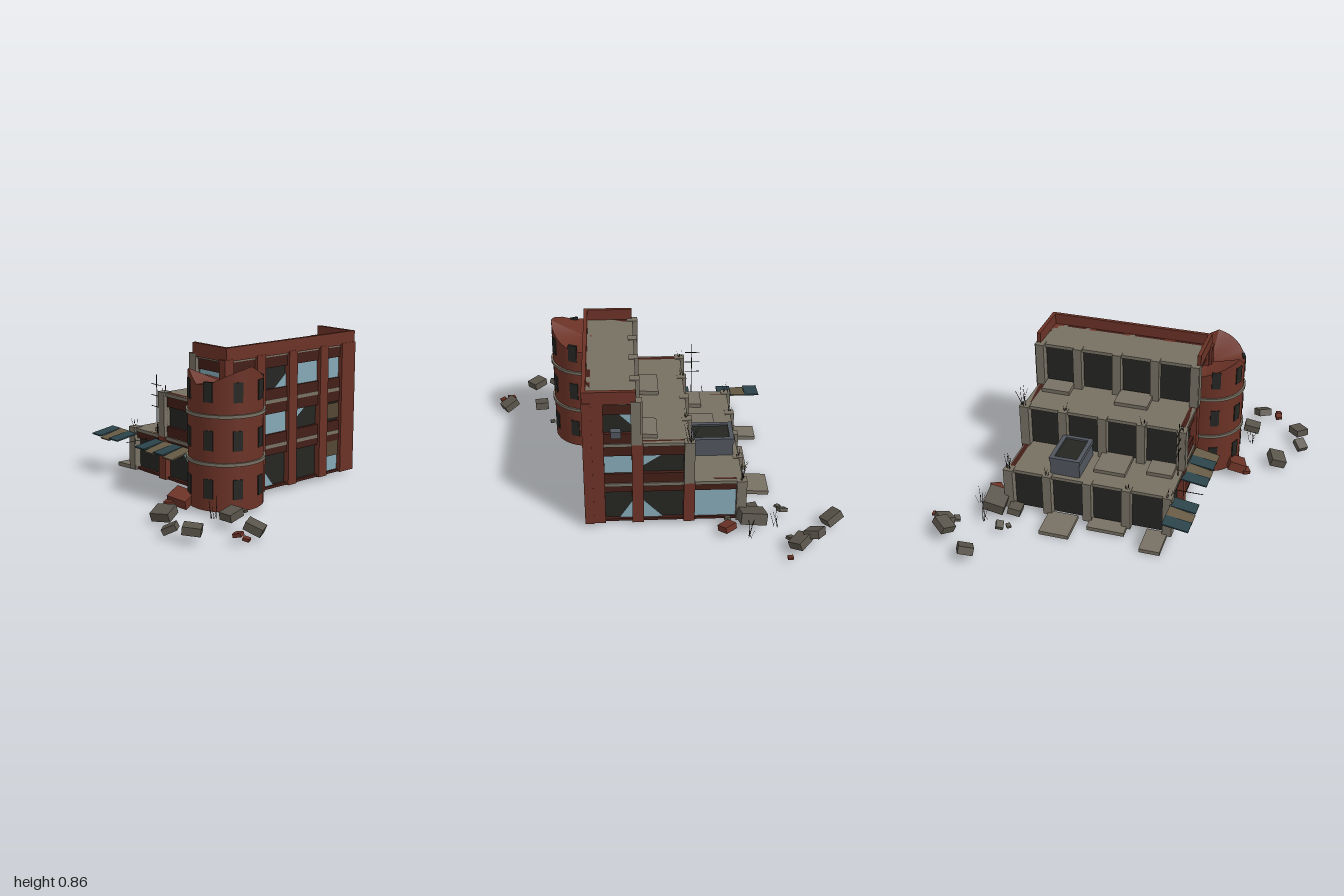
import * as THREE from 'three';
import { toCreasedNormals } from 'three/addons/utils/BufferGeometryUtils.js';

const mat = (color) => new THREE.MeshStandardMaterial({ color, roughness: 0.9, side: THREE.DoubleSide });
const M = {
  brick: mat(0x6b3226), darkBrick: mat(0x431e17), concrete: mat(0x777063), rubble: mat(0x59544a),
  dark: mat(0x252622), glass: mat(0x86a9b6), board: mat(0x544634), teal: mat(0x2b434a),
  tan: mat(0x665a44), metal: mat(0x50555d), twig: mat(0x2c2620),
};

function mesh(parent, name, geo, m) {
  const o = new THREE.Mesh(geo, m);
  o.name = name;
  parent.add(o);
  return o;
}
// Box given by its minimum and maximum corners
function box(parent, name, m, [x0, y0, z0], [x1, y1, z1]) {
  const o = mesh(parent, name, new THREE.BoxGeometry(x1 - x0, y1 - y0, z1 - z0), m);
  o.position.set((x0 + x1) / 2, (y0 + y1) / 2, (z0 + z1) / 2);
  return o;
}
let seed = 7;
const rnd = () => (seed = (seed * 16807) % 2147483647) / 2147483647;

function group(parent, name) {
  const g = new THREE.Group();
  g.name = name;
  parent.add(g);
  return g;
}

// Window: v = empty, g = glass, b = half boarded, B = fully boarded, 1-4 = shard in a corner
function pane(parent, kind, u0, u1, y0, y1) {
  const z = -0.024, w = (u1 - u0) * 0.5, h = (y1 - y0) * 0.65;
  if (kind === 'g' || kind === 'b') box(parent, 'windowGlass', M.glass, [u0, y0, z - 0.004], [u1, y1, z]);
  if (kind === 'b') box(parent, 'windowBoard', M.board, [u0, (y0 + y1) / 2, z], [u1, y1, z + 0.008]);
  if (kind === 'B') box(parent, 'windowBoard', M.board, [u0, y0 + 0.015, z], [u1, y1 - 0.01, z + 0.008]);
  const n = Number(kind);
  if (n) {
    const right = n % 2 === 0, top = n > 2;
    const cx = right ? u1 : u0, cy = top ? y1 : y0;
    const s = new THREE.Shape([[cx, cy], [cx + (right ? -w : w), cy], [cx, cy + (top ? -h : h)]]
      .map((p) => new THREE.Vector2(...p)));
    mesh(parent, 'glassShard', new THREE.ShapeGeometry(s), M.glass).position.z = z;
  }
}

const FLOOR = [0.03, 0.285, 0.54, 0.8];
const SILL = [0.045, 0.345, 0.6], HEAD = [0.225, 0.46, 0.72];

// One bay of brick bands and windows, one state letter per floor
function bay(parent, u0, u1, states) {
  box(parent, 'darkBacking', M.dark, [u0, 0.03, -0.04], [u1, FLOOR[states.length] - 0.01, -0.032]);
  [...states].forEach((k, f) => {
    box(parent, 'sillBand', M.darkBrick, [u0, FLOOR[f], -0.04], [u1, SILL[f], -0.012]);
    box(parent, 'headBand', M.darkBrick, [u0, HEAD[f], -0.04], [u1, FLOOR[f + 1], -0.012]);
    pane(parent, k, u0, u1, SILL[f], HEAD[f]);
  });
}
function pillar(parent, u, w, y0, y1, m = M.brick) {
  box(parent, 'pillar', m, [u - w / 2, y0, -0.045], [u + w / 2, y1, 0.005]);
}

function twigs(parent, x, y, z, n, len) {
  const g = group(parent, 'deadGrass');
  g.position.set(x, y, z);
  for (let i = 0; i < n; i++) {
    const l = len * (0.5 + 0.5 * rnd());
    const geo = new THREE.CylinderGeometry(0.0008, 0.0014, l, 3).translate(0, l / 2, 0);
    const t = mesh(g, 'stalk', geo, M.twig);
    t.position.set((rnd() - 0.5) * 0.03, 0, (rnd() - 0.5) * 0.03);
    t.rotation.set((rnd() - 0.5) * 0.6, 0, (rnd() - 0.5) * 0.6);
  }
}

// Rubble blocks, each given as x, y, z, size, yaw, roll
function rubble(parent, name, m, blocks) {
  for (const [x, y, z, s, yaw, roll] of blocks) {
    const r = mesh(parent, name, new THREE.BoxGeometry(s, s * 0.45, s * 0.85), m);
    r.position.set(x, y, z);
    r.rotation.set(rnd() * 0.35, yaw, roll, 'YXZ');
  }
}

function tower(parent) {
  const g = group(parent, 'tower');
  g.position.set(0.405, 0, 0.378);
  // Drum with a broken crown; heights run round from +x by way of +z
  const crown = [0.795, 0.775, 0.745, 0.705, 0.7, 0.77, 0.745, 0.72, 0.69, 0.7, 0.7, 0.7, 0.68, 0.68, 0.71, 0.75];
  const geo = new THREE.CylinderGeometry(0.203, 0.203, 0.65, 32).translate(0, 0.355, 0);
  const p = geo.attributes.position;
  for (let i = 0; i < p.count; i++) {
    const x = p.getX(i), z = p.getZ(i);
    if (p.getY(i) < 0.5 || Math.hypot(x, z) < 0.1) continue;
    const a = ((Math.atan2(z, x) / (Math.PI * 2) + 1) % 1) * 16;
    const k = Math.floor(a + 1e-4), t = a - k;
    p.setY(i, crown[k % 16] * (1 - t) + crown[(k + 1) % 16] * t);
  }
  mesh(g, 'towerDrum', toCreasedNormals(geo, 0.5), M.brick);
  for (const y of [0.285, 0.54])
    mesh(g, 'towerBelt', toCreasedNormals(new THREE.CylinderGeometry(0.214, 0.214, 0.018, 32), 0.5), M.concrete).position.y = y;
  for (let i = 0; i < 8; i++) {
    const arm = group(g, 'towerWindows');
    arm.rotation.y = Math.PI / 8 + (i * Math.PI) / 4;
    for (const y of [0.15, 0.41, 0.665]) box(arm, 'towerWindow', M.dark, [-0.026, y - 0.053, 0.19], [0.026, y + 0.053, 0.206]);
  }
}

export function createModel() {
  const root = new THREE.Group();
  root.name = 'ruinedBuilding';

  // Stepped tiers: a slab over each, open below, with a dark terrace wall between concrete piers
  const TX = [-0.45, -0.16, 0.125];
  TX.forEach((x, i) => {
    const y0 = FLOOR[i], y1 = FLOOR[i + 1];
    box(root, 'roofSlab', M.concrete, [x, y1 - 0.02, -0.6], [0.4, y1, 0.37]);
    box(root, 'terraceWall', M.dark, [x + 0.022, y0, -0.59], [x + 0.032, y1 - 0.015, 0.36]);
    [-0.59, -0.355, -0.115, 0.115, 0.355].forEach((z, k) => {
      box(root, 'terracePier', M.concrete, [x - 0.022, y0, z - 0.026], [x + 0.032, y1 + 0.004, z + 0.026]);
      if (i < 2 && k !== 2) twigs(root, x, y1, z, k ? 4 : 8, k ? 0.06 : 0.13);
    });
  });

  // Long outer side
  const right = group(root, 'rightFacade');
  right.rotation.y = Math.PI / 2;
  right.position.x = 0.41;
  const ru = [-0.36, -0.13, 0.113, 0.36, 0.56];
  ru.forEach((u, i) => pillar(right, u, i === 4 ? 0.11 : 0.064, 0.03, 0.8));
  ['vvv', '1g2', 'v3g', 'bBg'].forEach((s, i) => bay(right, ru[i] + 0.03, ru[i + 1] - (i === 3 ? 0.054 : 0.03), s));

  // End walls, stepping down with the tiers; the last edge is the tall corner
  function endWall(name, s, z, cornerWidth, bays) {
    const g = group(root, name);
    g.position.z = z;
    if (s < 0) g.rotation.y = Math.PI;
    const edges = [-0.445, -0.158, 0.123, 0.412 - cornerWidth / 2];
    pillar(g, s * edges[0], 0.056, 0.03, 0.289, M.concrete);
    pillar(g, s * edges[3], cornerWidth, 0.03, 0.8);
    for (const i of [1, 2]) {
      pillar(g, s * edges[i], 0.062, 0.03, FLOOR[i]);
      pillar(g, s * edges[i], 0.055, FLOOR[i], FLOOR[i + 1] + 0.004, M.concrete);
    }
    bays.forEach((b, i) => {
      const end = edges[i + 1] - (i === 2 ? cornerWidth / 2 : 0.03);
      const [a, c] = [s * (edges[i] + 0.028), s * end].sort((m, n) => m - n);
      bay(g, a, c, b);
    });
  }
  endWall('frontFacade', 1, 0.372, 0.064, ['v', '4v', 'vgg']);
  endWall('backFacade', -1, -0.605, 0.11, ['g', '13', '2g4']);
  box(root, 'wallUnit', M.metal, [0.21, 0.6, -0.64], [0.265, 0.64, -0.6]);

  // Parapet round the highest roof
  const par = group(root, 'parapet');
  box(par, 'parapetSide', M.brick, [0.39, 0.79, -0.61], [0.412, 0.865, 0.38]);
  for (const z of [-0.61, 0.358]) box(par, 'parapetEnd', M.brick, [0.13, 0.79, z], [0.39, 0.865, z + 0.022]);

  tower(root);

  // Skylight on the lowest roof
  const sky = group(root, 'skylight');
  box(sky, 'skylightBase', M.metal, [-0.42, 0.28, -0.345], [-0.18, 0.375, -0.172]);
  for (const x of [-0.425, -0.2]) box(sky, 'skylightRim', M.metal, [x, 0.37, -0.35], [x + 0.025, 0.395, -0.167]);
  for (const z of [-0.35, -0.192]) box(sky, 'skylightRim', M.metal, [-0.425, 0.37, z], [-0.175, 0.395, z + 0.025]);
  box(sky, 'skylightPane', M.dark, [-0.4, 0.37, -0.325], [-0.2, 0.385, -0.192]);

  // Roof mast with crossbars
  const mast = group(root, 'mast');
  box(mast, 'mastPole', M.twig, [-0.234, 0.28, 0.35], [-0.23, 0.63, 0.354]);
  for (const y of [0.44, 0.505, 0.57]) box(mast, 'mastBar', M.twig, [-0.28, y, 0.35], [-0.19, y + 0.003, 0.354]);

  // Striped awnings, each strip sagging differently
  for (const [x0, n] of [[-0.655, 3], [-0.225, 4]])
    for (let i = 0; i < n; i++) {
      const a = mesh(root, 'awningStrip', new THREE.BoxGeometry(0.085, 0.008, 0.15), i % 2 ? M.tan : M.teal);
      a.position.set(x0 + 0.085 * (i + 0.5), 0.243 - (i % 2) * 0.006, 0.445);
      a.rotation.x = 0.15 + (i % 2) * 0.07;
    }
  box(root, 'awningRod', M.twig, [-0.312, 0.238, 0.37], [-0.309, 0.241, 0.52]);

  // Fallen slabs: x0, x1, z0, z1, y
  for (const [x0, x1, z0, z1, y] of [
    [-0.635, -0.45, -0.35, -0.175, 0.025], [-0.53, -0.44, -0.1, 0.12, 0.03], [-0.625, -0.45, 0.235, 0.355, 0.025],
    [-0.34, -0.165, -0.115, 0.07, 0.3], [-0.28, -0.165, 0.18, 0.33, 0.3],
    [0.015, 0.125, -0.55, -0.38, 0.555], [-0.01, 0.125, -0.095, 0.105, 0.555]])
    box(root, 'fallenSlab', M.concrete, [x0, y - 0.012, z0], [x1, y + 0.012, z1]).rotation.z = 0.06;

  // Scattered rubble and bricks on the ground
  rubble(root, 'backRubble', M.rubble, [
    [-0.94, 0.07, -0.66, 0.1, 0.4, -0.4], [-0.815, 0.105, -0.84, 0.1, 1.07, 0.3], [-0.735, 0.08, -0.875, 0.1, 0.75, -0.2],
    [-0.69, 0.06, -0.82, 0.038, 0.6, 0.2], [-0.68, 0.06, -0.565, 0.05, 0.4, 0.3], [-0.66, 0.05, -0.52, 0.03, 0.7, 0.2],
    [-0.5, 0.09, -0.655, 0.145, 0.12, 0.15], [-0.5, 0.05, -0.54, 0.09, 0.1, -0.1], [-0.37, 0.05, -0.62, 0.035, 0.1, 0]]);
  rubble(root, 'frontRubble', M.rubble, [
    [0.425, 0.06, 0.815, 0.11, 0.4, 0.1], [0.71, 0.08, 0.605, 0.095, 1.67, 0.2], [0.92, 0.07, 0.635, 0.095, 0.55, -0.4],
    [0.625, 0.055, 0.93, 0.075, 0.7, 0.45], [0.755, 0.075, 0.895, 0.095, 0.75, -0.1], [0.635, 0.045, 0.45, 0.028, 0.2, 0]]);
  rubble(root, 'fallenBricks', M.brick, [
    [-0.67, 0.045, -0.97, 0.03, 0.1, 0], [-0.36, 0.06, -0.71, 0.078, 0.7, 0], [0.29, 0.065, 0.59, 0.12, 0.25, -0.15],
    [0.265, 0.045, 0.655, 0.05, 0.5, 0.1], [0.915, 0.055, 0.74, 0.045, 0.4, 0.2], [0.97, 0.045, 0.735, 0.035, 0.5, -0.2]]);
  for (const [x, z] of [[-0.63, -0.68], [-0.48, -0.77], [0.59, 0.62]]) twigs(root, x, 0.03, z, 6, 0.12);

  return root;
}
